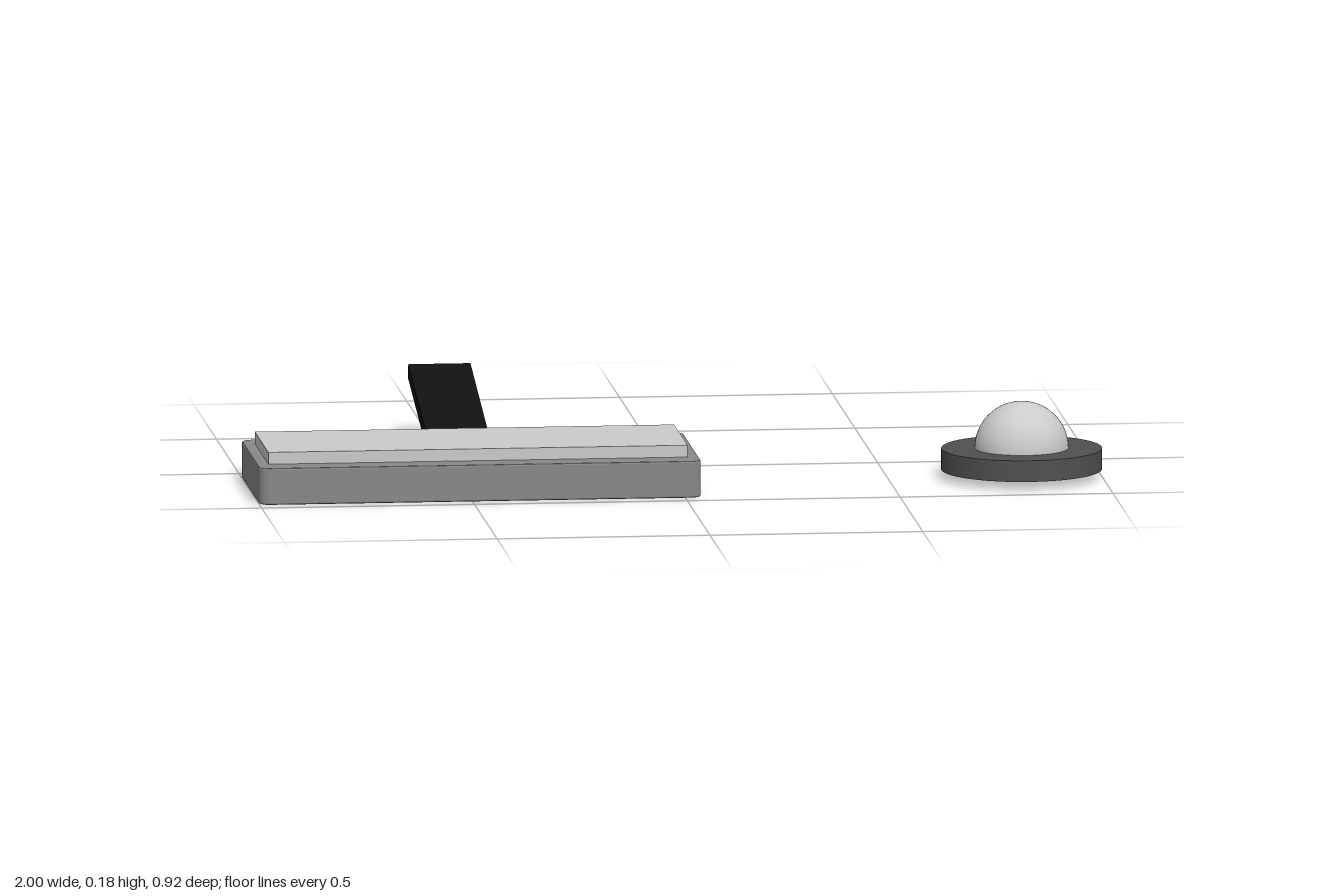
import * as THREE from 'three';

const paint = (color) => new THREE.MeshStandardMaterial({ color });

function addPart(parent, name, geometry, color, x, y, z) {
  const mesh = new THREE.Mesh(geometry, paint(color));
  mesh.name = name;
  mesh.position.set(x, y, z);
  parent.add(mesh);
  return mesh;
}

// Slab with rounded corners in plan and a fine bevel, standing on y = 0
function slab(width, height, depth, radius, bevel) {
  const w = width / 2 - bevel, d = depth / 2 - bevel, r = radius;
  const shape = new THREE.Shape();
  shape.moveTo(-w + r, -d);
  shape.lineTo(w - r, -d);
  shape.absarc(w - r, -d + r, r, -Math.PI / 2, 0);
  shape.absarc(w - r, d - r, r, 0, Math.PI / 2);
  shape.absarc(-w + r, d - r, r, Math.PI / 2, Math.PI);
  shape.absarc(-w + r, -d + r, r, Math.PI, Math.PI * 1.5);
  const geometry = new THREE.ExtrudeGeometry(shape, {
    depth: height - 2 * bevel, curveSegments: 4,
    bevelSize: bevel, bevelThickness: bevel, bevelSegments: 2,
  });
  return geometry.rotateX(-Math.PI / 2).translate(0, bevel, 0);
}

export function createModel() {
  const model = new THREE.Group();
  model.name = 'padAndPuck';

  // Wide base with a raised pad on top
  const base = new THREE.Group();
  base.name = 'paddle';
  model.add(base);
  addPart(base, 'body', slab(1.038, 0.087, 0.42, 0.02, 0.004), 0x888888, -0.481, 0, 0.25);
  addPart(base, 'topPad', new THREE.BoxGeometry(0.985, 0.05, 0.3), 0xcccccc, -0.481, 0.09, 0.25);

  // Tilted arm: the origin is the back end of the neck, -z runs along the strap
  const arm = new THREE.Group();
  arm.name = 'arm';
  arm.position.set(-0.481, 0.061, -0.062);
  arm.rotation.x = 0.245;
  base.add(arm);
  addPart(arm, 'neck', new THREE.BoxGeometry(0.208, 0.054, 0.13), 0x505050, 0, 0, 0.065);
  addPart(arm, 'strap', new THREE.BoxGeometry(0.146, 0.034, 0.45), 0x111111, 0, 0, -0.185);

  // Round puck with a dome
  const puck = new THREE.Group();
  puck.name = 'puck';
  puck.position.set(0.812, 0, 0.248);
  model.add(puck);
  addPart(puck, 'disc', new THREE.CylinderGeometry(0.188, 0.188, 0.05, 64), 0x505050, 0, 0.045, 0);
  addPart(puck, 'dome', new THREE.SphereGeometry(0.11, 48, 16, 0, Math.PI * 2, 0, Math.PI / 2),
    0xcccccc, 0, 0.07, 0);

  return model;
}
